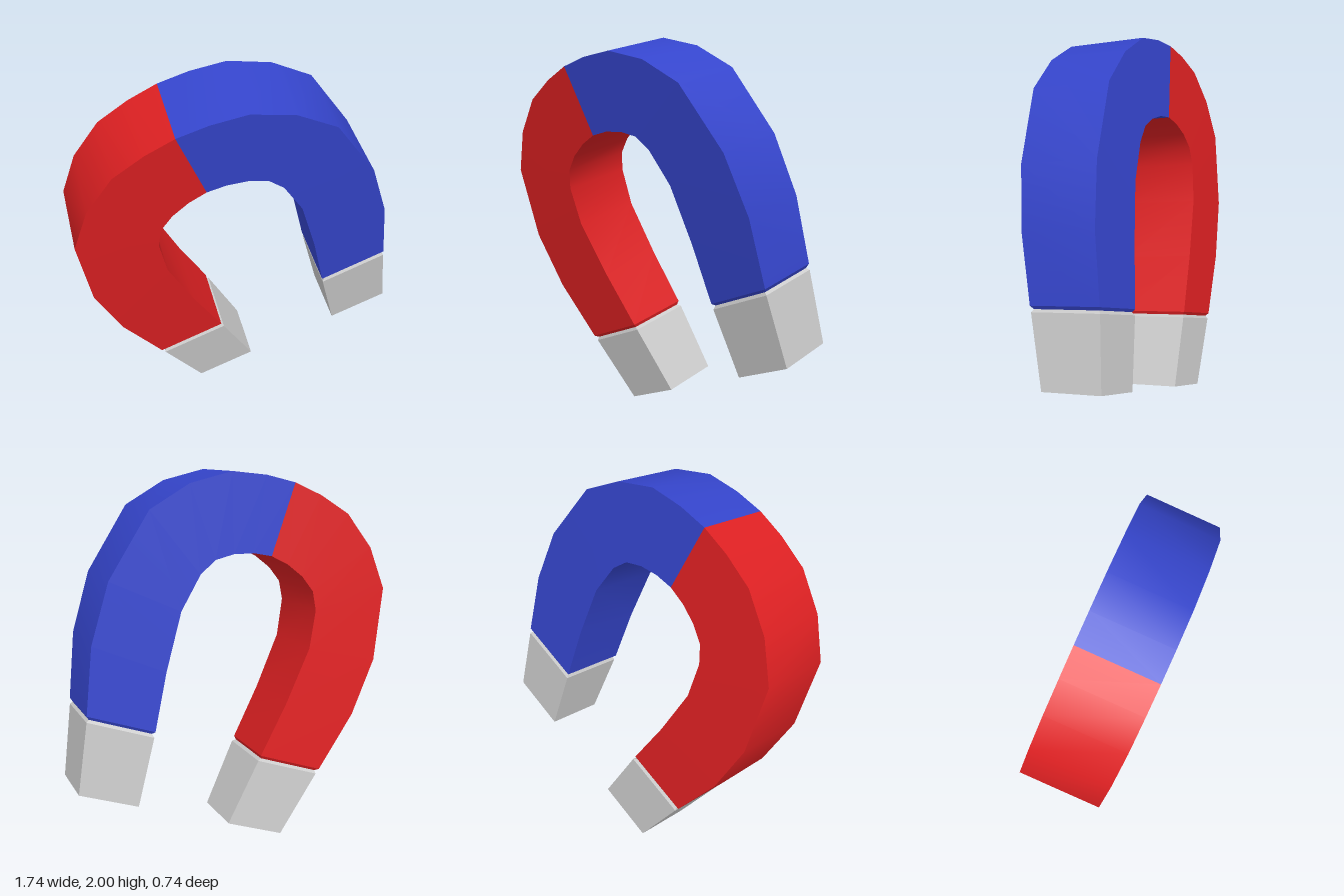
import * as THREE from 'three';
import { toCreasedNormals } from 'three/addons/utils/BufferGeometryUtils.js';

// Sections run from the top of the arch to the end of a leg:
// [outer x, outer y, inner x, inner y, half depth]
const ARM = [
  [0, 1.878, 0, 1.494, 0.204],
  [0.16, 1.864, 0.1, 1.48, 0.204],
  [0.34, 1.823, 0.2, 1.445, 0.204],
  [0.53, 1.7, 0.285, 1.39, 0.204],
  [0.684, 1.52, 0.337, 1.3, 0.204],
  [0.772, 1.14, 0.374, 1.1, 0.2],
  [0.757, 0.82, 0.35, 0.79, 0.193],
  [0.674, 0.482, 0.307, 0.482, 0.185],
  [0.656, 0.467, 0.318, 0.467, 0.173], // bevelled end
];
const TIP = [
  [0.656, 0.467, 0.318, 0.467, 0.173],
  [0.665, 0.452, 0.303, 0.452, 0.183],
  [0.585, 0.08, 0.261, 0.08, 0.16],
];

// Joins four-cornered sections into a bar with a closed far end
function bar(sections, side) {
  const rings = sections.map(([ox, oy, ix, iy, d]) => [
    [side * ox, oy, d], [side * ix, iy, d], [side * ix, iy, -d], [side * ox, oy, -d],
  ]);
  const pos = [];
  const tri = (a, b, c) => pos.push(...a, ...(side > 0 ? b : c), ...(side > 0 ? c : b));
  for (let i = 0; i < rings.length - 1; i++) {
    const r = rings[i], n = rings[i + 1];
    for (let j = 0; j < 4; j++) {
      const k = (j + 1) % 4;
      tri(r[k], n[k], n[j]);
      tri(r[k], n[j], r[j]);
    }
  }
  const e = rings[rings.length - 1];
  tri(e[0], e[1], e[2]);
  tri(e[0], e[2], e[3]);
  const g = new THREE.BufferGeometry();
  g.setAttribute('position', new THREE.Float32BufferAttribute(pos, 3));
  return toCreasedNormals(g, 0.62);
}

export function createModel() {
  const group = new THREE.Group();
  group.name = 'horseshoeMagnet';

  // Tilted frame of the horseshoe: width, height and depth axes
  const depth = new THREE.Vector3(0.123, -0.16, 0.98).normalize();
  const height = depth.clone().cross(new THREE.Vector3(0.923, 0.382, -0.054)).normalize();
  const width = height.clone().cross(depth);
  const tilted = new THREE.Group();
  tilted.name = 'tiltedMagnet';
  tilted.quaternion.setFromRotationMatrix(new THREE.Matrix4().makeBasis(width, height, depth));
  tilted.position.copy(width).multiplyScalar(0.394).addScaledVector(depth, -0.18);
  group.add(tilted);

  const grey = new THREE.MeshStandardMaterial({ color: 0xcccccc });
  const add = (name, sections, side, material) => {
    const mesh = new THREE.Mesh(bar(sections, side), material);
    mesh.name = name;
    tilted.add(mesh);
  };

  // Two coloured arms with bare metal tips
  for (const [side, name, color] of [[1, 'left', 0x3545cc], [-1, 'right', 0xdd2022]]) {
    add(name + 'Arm', ARM, side, new THREE.MeshStandardMaterial({ color }));
    add(name + 'Tip', TIP, side, grey);
  }
  return group;
}
